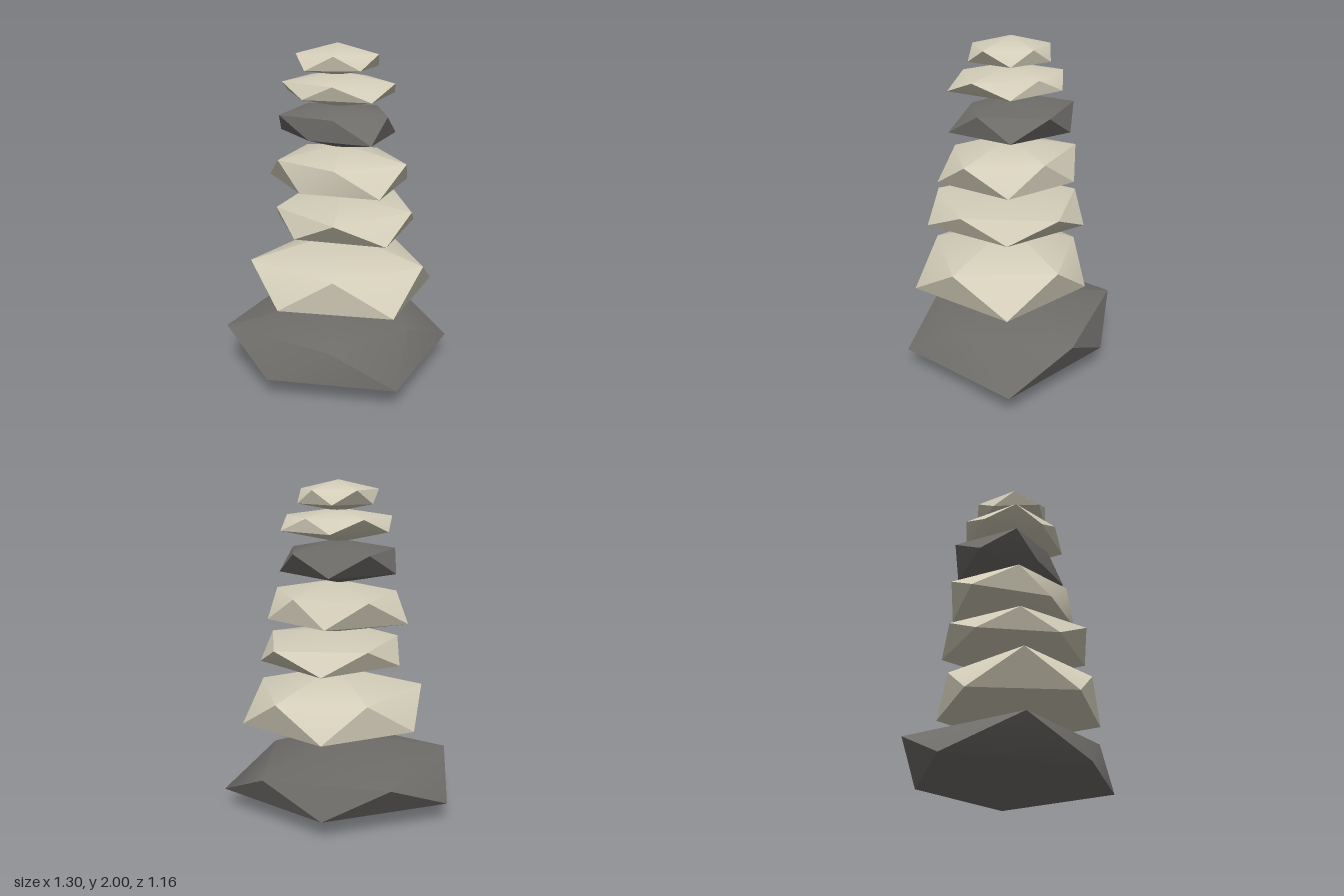
import * as THREE from 'three';
import { toCreasedNormals } from 'three/addons/utils/BufferGeometryUtils.js';

const LIGHT = 0xd2ccb8, DARK = 0x6f6d6a;

// Each stone: axis x, heights of [bottom tip, lower ring, upper ring, top tip],
// and ten radii every 36 degrees (even = upper ring, odd = lower ring).
const STONES = [
  { name: 'baseStone', color: DARK, x: 0.07, y: [0, 0.125, 0.32, 0.44],
    r: [0.46, 0.66, 0.5, 0.61, 0.69, 0.73, 0.66, 0.58, 0.61, 0.71] },
  { name: 'secondStone', color: LIGHT, x: 0.09, y: [0.43, 0.54, 0.74, 0.88],
    r: [0.52, 0.58, 0.47, 0.54, 0.55, 0.53, 0.42, 0.48, 0.48, 0.57] },
  { name: 'thirdStone', color: LIGHT, x: 0.09, y: [0.86, 0.935, 1.06, 1.12],
    r: [0.44, 0.49, 0.45, 0.4, 0.39, 0.43, 0.42, 0.46, 0.48, 0.45] },
  { name: 'fourthStone', color: LIGHT, x: 0.08, y: [1.1, 1.19, 1.34, 1.42],
    r: [0.41, 0.43, 0.34, 0.34, 0.37, 0.47, 0.41, 0.39, 0.34, 0.41] },
  { name: 'fifthStone', color: DARK, x: 0.06, y: [1.4, 1.475, 1.6, 1.66],
    r: [0.31, 0.37, 0.24, 0.24, 0.34, 0.37, 0.38, 0.35, 0.36, 0.35] },
  { name: 'sixthStone', color: LIGHT, x: 0.06, y: [1.64, 1.71, 1.79, 1.84],
    r: [0.35, 0.37, 0.29, 0.29, 0.32, 0.32, 0.31, 0.3, 0.26, 0.34] },
  { name: 'topStone', color: LIGHT, x: 0.06, y: [1.82, 1.865, 1.945, 2],
    r: [0.25, 0.25, 0.23, 0.27, 0.24, 0.22, 0.23, 0.23, 0.21, 0.24] },
];

// Irregular twenty-sided stone: two staggered rings of five between two tips
function stoneGeometry({ x, y, r }) {
  const points = r.flatMap((radius, k) => {
    const a = (k * Math.PI) / 5;
    return [x + radius * Math.cos(a), k % 2 ? y[1] : y[2], radius * Math.sin(a)];
  });
  points.push(x, y[0], 0, x, y[3], 0);
  const bottom = 10, top = 11, index = [];
  for (let k = 0; k < 10; k++) {
    const m = (k + 1) % 10, n = (k + 2) % 10;
    if (k % 2) index.push(k, m, n, bottom, k, n);
    else index.push(n, m, k, top, n, k);
  }
  const geometry = new THREE.BufferGeometry();
  geometry.setAttribute('position', new THREE.Float32BufferAttribute(points, 3));
  geometry.setIndex(index);
  return toCreasedNormals(geometry, THREE.MathUtils.degToRad(40));
}

export function createModel() {
  const model = new THREE.Group();
  model.name = 'stackedStones';
  for (const stone of STONES) {
    const material = new THREE.MeshStandardMaterial({ color: stone.color });
    const mesh = new THREE.Mesh(stoneGeometry(stone), material);
    mesh.name = stone.name;
    model.add(mesh);
  }
  return model;
}
